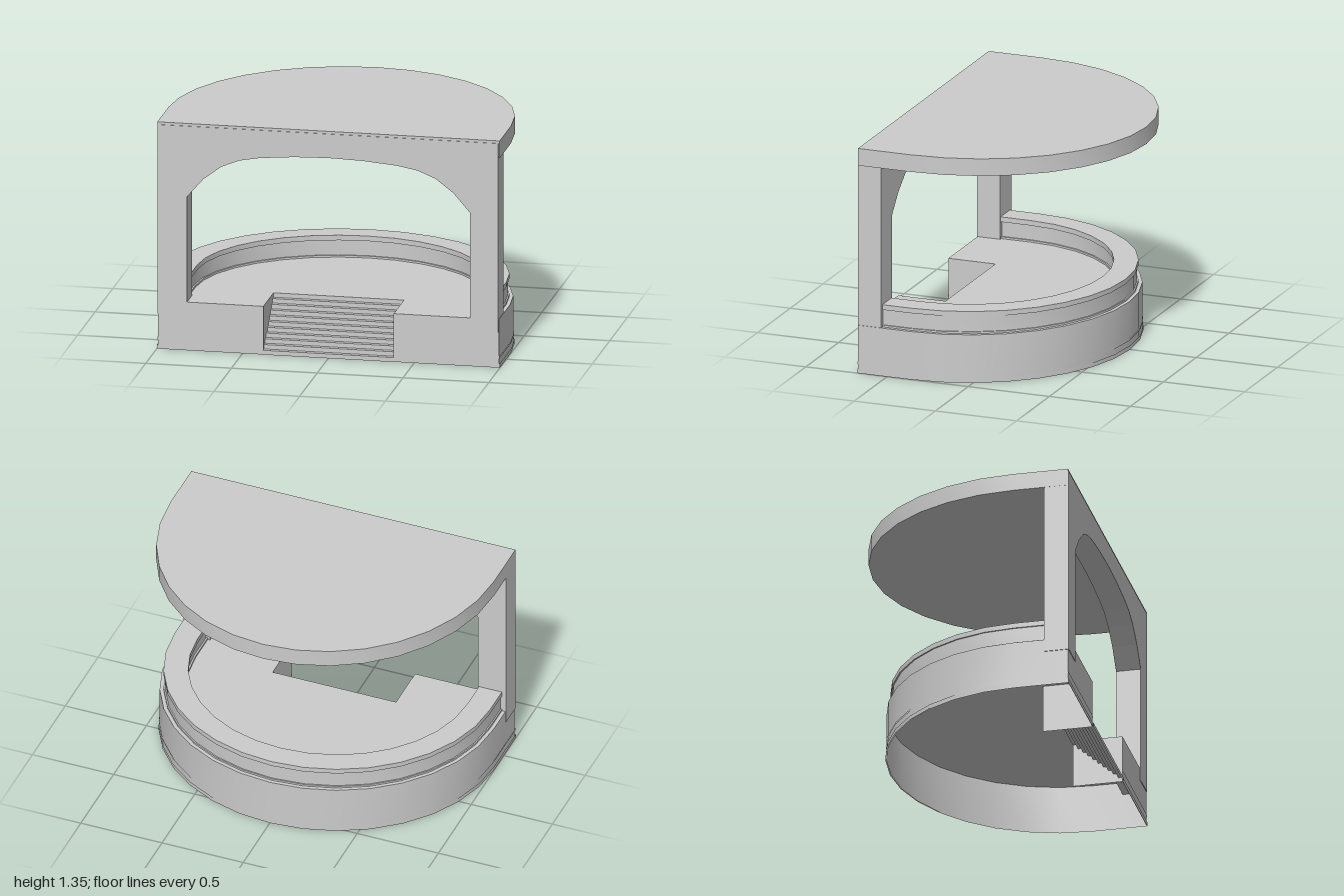
import * as THREE from 'three';
import { toCreasedNormals } from 'three/addons/utils/BufferGeometryUtils.js';

const grey = new THREE.MeshStandardMaterial({ color: 0xcccccc, side: THREE.DoubleSide });
const FRONT = 0.68, CENTRE = 0.36, FLOOR = 0.285;
const STAIR_X = 0.38, STAIR_BACK = 0.39;

// Half-ellipse plan from left (+x) round the back to right, ending straight at z = end
function plan(rx, rz, end = FRONT, segments = 16) {
  const pts = [[rx, end]];
  for (let i = 0; i <= segments; i++) {
    const t = Math.PI * (0.5 - i / segments);
    pts.push([rx * Math.sin(t), CENTRE - rz * Math.cos(t)]);
  }
  pts.push([-rx, end]);
  return pts;
}

const planShape = (pts) => new THREE.Shape(pts.map(([x, z]) => new THREE.Vector2(x, -z)));

function add(group, name, geometry) {
  const mesh = new THREE.Mesh(geometry, grey);
  mesh.name = name;
  group.add(mesh);
  return mesh;
}

// Solid slab with a plan outline between two heights
function slab(pts, y0, y1) {
  const g = new THREE.ExtrudeGeometry(planShape(pts), { depth: y1 - y0, bevelEnabled: false });
  g.rotateX(-Math.PI / 2).translate(0, y0, 0);
  return toCreasedNormals(g, 0.5);
}

// Open surface between two matching rows of points
function strip(rowA, rowB) {
  const pos = [];
  for (let i = 0; i < rowA.length - 1; i++) {
    const [a, b, c, d] = [rowA[i], rowA[i + 1], rowB[i + 1], rowB[i]];
    pos.push(...a, ...b, ...c, ...a, ...c, ...d);
  }
  const g = new THREE.BufferGeometry();
  g.setAttribute('position', new THREE.Float32BufferAttribute(pos, 3));
  return toCreasedNormals(g, 0.5);
}

const wall = (pts, y0, y1) =>
  strip(pts.map(([x, z]) => [x, y0, z]), pts.map(([x, z]) => [x, y1, z]));

// Curved band open to the front
const band = (rxOut, rzOut, rxIn, rzIn, y0, y1) =>
  slab([...plan(rxOut, rzOut, 0.54), ...plan(rxIn, rzIn, 0.54).reverse()], y0, y1);

export function createModel() {
  const model = new THREE.Group();
  model.name = 'bandstand';

  // Hollow base, notched at the front for the stairs
  const base = new THREE.Group();
  base.name = 'base';
  model.add(base);
  const outline = [
    ...plan(0.993, 0.948),
    [-STAIR_X, FRONT], [-STAIR_X, STAIR_BACK],
    [STAIR_X, STAIR_BACK], [STAIR_X, FRONT],
  ];
  const floor = new THREE.ShapeGeometry(planShape(outline));
  floor.rotateX(-Math.PI / 2).translate(0, FLOOR, 0);
  add(base, 'floor', floor);
  const sides = outline.slice(0, -2);
  add(base, 'curvedWall', wall(sides, 0, FLOOR));
  add(base, 'stairCheekAndFrontWall', wall([...outline.slice(-2), outline[0]], 0, FLOOR));

  // Shallow trim bands round the foot of the base
  for (const [y0, y1, out] of [[0, 0.025, 0.006], [0.055, 0.068, 0.004]]) {
    const trim = plan(0.993 + out, 0.948 + out, FRONT + out / 2);
    add(base, 'footTrim', wall([...trim, [-STAIR_X, FRONT + out / 2]], y0, y1));
    add(base, 'footTrim', wall([[STAIR_X, FRONT + out / 2], trim[0]], y0, y1));
  }

  // Stairs: zigzag of risers and treads
  const steps = 11, rise = FLOOR / steps, run = (0.686 - STAIR_BACK) / (steps - 1);
  const zigzag = [];
  for (let i = 0; i < steps; i++) {
    const z = 0.686 - i * run;
    zigzag.push([i * rise, z], [(i + 1) * rise, z]);
  }
  const row = (x) => zigzag.map(([y, z]) => [x, y, z]);
  add(model, 'stairs', strip(row(STAIR_X), row(-STAIR_X)));

  // Parapet with plinth and coping
  const parapet = new THREE.Group();
  parapet.name = 'parapet';
  model.add(parapet);
  add(parapet, 'plinth', band(0.971, 0.926, 0.84, 0.795, FLOOR, 0.296));
  add(parapet, 'parapetWall', band(0.963, 0.918, 0.85, 0.805, 0.296, 0.388));
  add(parapet, 'coping', band(0.971, 0.926, 0.83, 0.785, 0.388, 0.418));

  // Front arch with its two pillars
  const curve = [[0.825, 0.91], [0.73, 1.02], [0.625, 1.1], [0.52, 1.143], [0.4, 1.165], [0.2, 1.182], [0, 1.188]];
  const mirrored = curve.slice(0, -1).reverse().map(([x, y]) => [-x, y]);
  const archPts = [
    [-0.997, 0.21], [-0.825, 0.21], ...[...curve, ...mirrored].reverse(),
    [0.825, 0.21], [0.99, 0.21], [0.99, 1.33], [-0.997, 1.33],
  ];
  const archShape = new THREE.Shape(archPts.map(([x, y]) => new THREE.Vector2(x, y)));
  const arch = new THREE.ExtrudeGeometry(archShape, { depth: 0.144, bevelEnabled: false });
  add(model, 'frontArch', toCreasedNormals(arch.translate(0, 0, 0.54), 0.15));

  // Flat roof
  add(model, 'roof', slab(plan(0.998, 1.055), 1.243, 1.345));
  return model;
}
